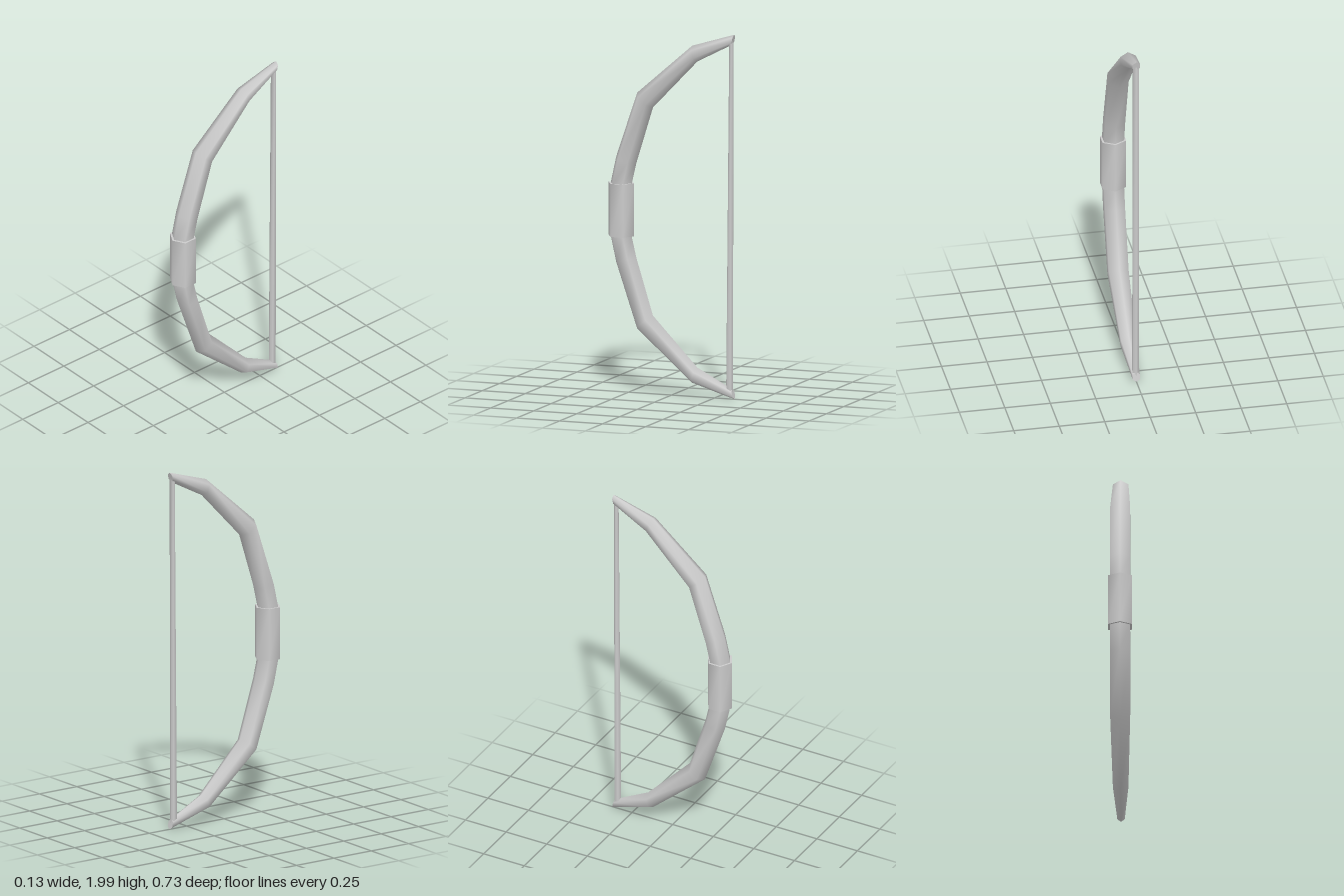
import * as THREE from 'three';

const MID = 1.003; // height of the symmetry plane
const material = new THREE.MeshStandardMaterial({ color: 0xcccccc });

// Six-sided tube through rings [outerZ, outerY, innerZ, innerY, halfWidth], smooth sides and flat caps
function hexLoft(rings) {
  const pos = [], index = [];
  const addRing = ([oz, oy, iz, iy, w]) => {
    const cz = (oz + iz) / 2, cy = (oy + iy) / 2, dz = (oz - iz) / 2, dy = (oy - iy) / 2;
    for (let k = 0; k < 6; k++) {
      const a = k * Math.PI / 3, c = Math.cos(a);
      pos.push(w * Math.sin(a) / Math.sin(Math.PI / 3), cy + dy * c, cz + dz * c);
    }
  };
  rings.forEach(addRing);
  for (let r = 0; r < rings.length - 1; r++) {
    for (let k = 0; k < 6; k++) {
      const a = r * 6 + k, b = r * 6 + (k + 1) % 6;
      index.push(a, b, b + 6, a, b + 6, a + 6);
    }
  }
  // caps use their own vertices so the end edges stay sharp
  [rings[0], rings[rings.length - 1]].forEach((ring, end) => {
    const s = pos.length / 3;
    addRing(ring);
    for (let k = 1; k < 5; k++) {
      if (end) index.push(s, s + k, s + k + 1);
      else index.push(s, s + k + 1, s + k);
    }
  });
  const g = new THREE.BufferGeometry();
  g.setAttribute('position', new THREE.Float32BufferAttribute(pos, 3));
  g.setIndex(index);
  g.computeVertexNormals();
  return g;
}

export function createModel() {
  const bow = new THREE.Group();
  bow.name = 'bow';
  const add = (name, geometry) => {
    const mesh = new THREE.Mesh(geometry, material);
    mesh.name = name;
    bow.add(mesh);
    return mesh;
  };

  // Curved stave: upper half from grip to tip, mirrored for the lower half
  const upper = [
    [0.355, 1.14, 0.233, 1.14, 0.055],
    [0.322, 1.29, 0.205, 1.26, 0.055],
    [0.2, 1.648, 0.108, 1.572, 0.054],
    [-0.12, 1.925, -0.15, 1.84, 0.042],
    [-0.365, 2.0, -0.353, 1.945, 0.02],
  ];
  const lower = upper.map(([oz, oy, iz, iy, w]) => [oz, 2 * MID - oy, iz, 2 * MID - iy, w]).reverse();
  add('stave', hexLoft([...lower, ...upper]));

  // Hexagonal grip sleeve, ridge facing forward
  const grip = add('grip', hexLoft([
    [0.365, 0.86, 0.219, 0.86, 0.065],
    [0.365, 1.15, 0.219, 1.15, 0.065],
  ]));
  grip.name = 'grip';

  // Bowstring, slightly thicker toward the bottom
  add('string', hexLoft([
    [-0.317, 0.035, -0.358, 0.035, 0.017],
    [-0.336, 1.965, -0.358, 1.965, 0.016],
  ]));

  return bow;
}
